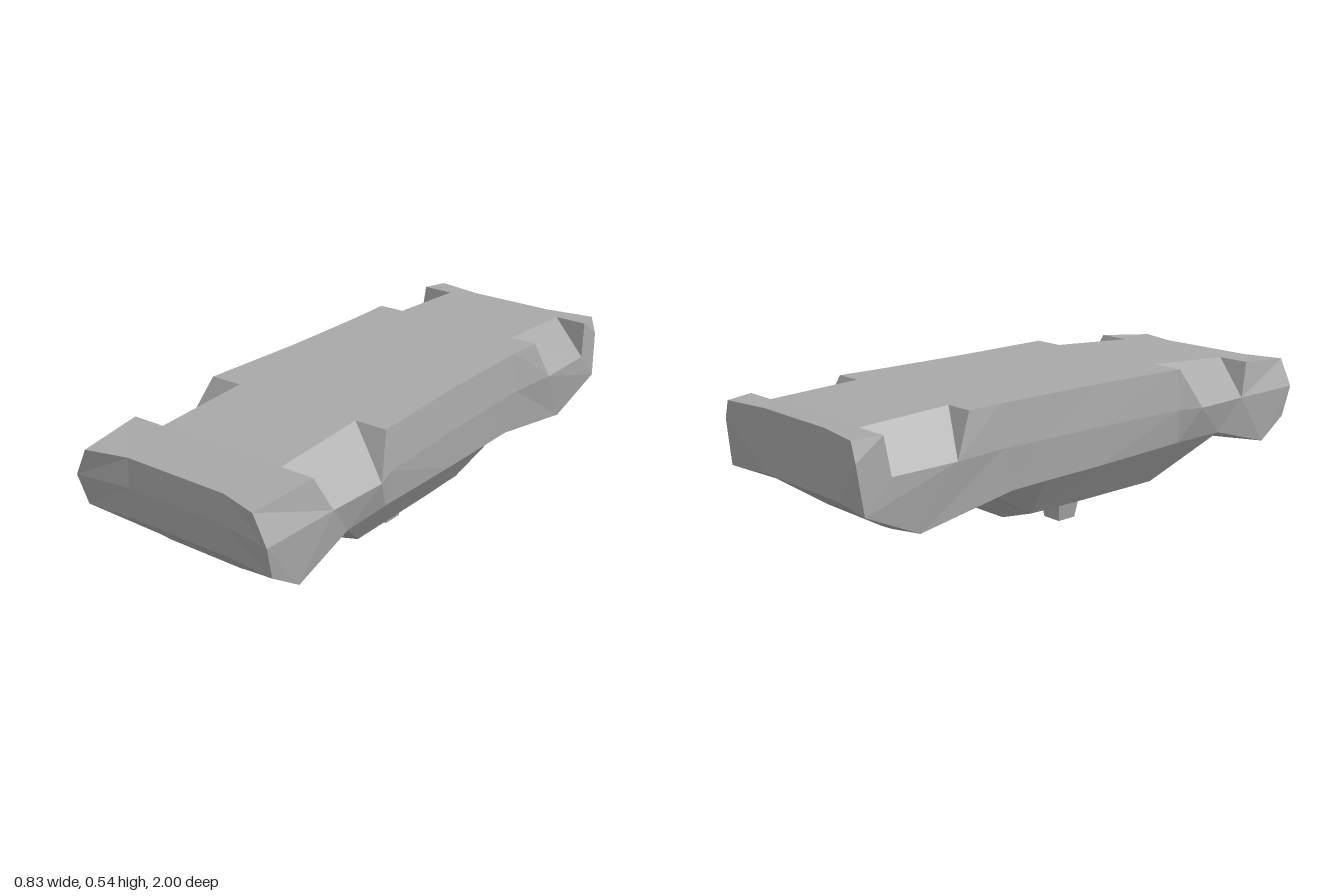
import * as THREE from 'three';

const V = (x, y, z) => new THREE.Vector3(x, y, z);

// Collects flat triangles together with their mirror image across x = 0
function mirroredSurface() {
  const pos = [];
  const tri = (a, b, c) => {
    const area = b.clone().sub(a).cross(c.clone().sub(a)).length();
    if (area < 1e-6) return;
    for (const p of [a, b, c]) pos.push(p.x, p.y, p.z);
    for (const p of [c, b, a]) pos.push(-p.x, p.y, p.z);
  };
  const quad = (a, b, c, d) => { tri(a, b, c); tri(a, c, d); };
  const geometry = () => {
    const g = new THREE.BufferGeometry();
    g.setAttribute('position', new THREE.Float32BufferAttribute(pos, 3));
    g.computeVertexNormals();
    return g;
  };
  return { quad, geometry };
}

// Half cross-section: deck, top edge, waist, sill, cabin corner, cabin base
function section(...points) {
  const p = points.map((a) => V(...a));
  const last = p[p.length - 1];
  return [V(0, p[0].y, p[0].z), ...p, V(0, last.y, last.z)];
}

// Collapsing the top edge onto the deck opens a wheel notch
function notched(s) {
  const n = s.slice();
  n[2] = n[1];
  return n;
}

function bodyGeometry() {
  const { quad, geometry } = mirroredSurface();

  const nose = section([.2, .49, .96], [.35, .49, 1], [.4, .39, 1], [.39, .275, .97], [.2, .27, .95], [.15, .27, .95]);
  const frontA = section([.25, .512, .757], [.375, .512, .757], [.405, .39, .7], [.39, .196, .85], [.2, .174, .85], [.15, .17, .85]);
  const frontB = section([.25, .535, .39], [.372, .535, .39], [.415, .39, .47], [.38, .27, .6], [.25, .235, .62], [.15, .235, .63]);
  const cabinFront = section([.25, .535, .38], [.37, .535, .38], [.385, .39, .38], [.37, .265, .39], [.25, .097, .38], [.16, .08, .39]);
  const middle = section([.25, .535, 0], [.35, .535, 0], [.367, .39, 0], [.36, .25, 0], [.25, .097, 0], [.16, .077, 0]);
  const cabinRear = section([.25, .535, -.24], [.347, .535, -.24], [.362, .39, -.24], [.355, .245, -.24], [.25, .1, -.21], [.16, .076, -.26]);
  const cabinEnd = section([.25, .535, -.43], [.347, .535, -.43], [.36, .39, -.43], [.35, .24, -.38], [.25, .225, -.42], [.15, .215, -.44]);
  const rearA = section([.25, .535, -.56], [.352, .535, -.56], [.38, .39, -.63], [.355, .18, -.76], [.2, .158, -.76], [.15, .155, -.76]);
  const rearB = section([.25, .52, -.9], [.372, .52, -.9], [.38, .39, -.88], [.38, .285, -.98], [.2, .285, -.95], [.15, .285, -.95]);
  const tail = section([.17, .515, -.97], [.35, .515, -1], [.37, .45, -1], [.38, .285, -.98], [.2, .285, -.95], [.15, .285, -.95]);

  // Skin from nose to tail
  const rings = [nose, frontA, notched(frontA), notched(frontB), frontB, cabinFront, middle,
    cabinRear, cabinEnd, rearA, notched(rearA), notched(rearB), rearB, tail];
  for (let i = 0; i < rings.length - 1; i++) {
    const r = rings[i], s = rings[i + 1];
    for (let k = 0; k < r.length - 1; k++) quad(r[k], r[k + 1], s[k + 1], s[k]);
  }

  // End faces: rows of centre, inner and outer points from top to bottom
  const endFace = (rows, front) => {
    for (let i = 0; i < rows.length - 1; i++) {
      for (let k = 0; k < 2; k++) {
        const q = [rows[i][k], rows[i + 1][k], rows[i + 1][k + 1], rows[i][k + 1]];
        quad(...(front ? q : q.reverse()));
      }
    }
  };
  endFace([
    [nose[0], nose[1], nose[2]],
    [V(0, .387, .965), V(.2, .387, .965), nose[3]],
    [nose[7], nose[5], nose[4]],
  ], true);
  endFace([
    [tail[0], tail[1], tail[2]],
    [V(0, .45, -.97), V(.17, .45, -.97), tail[3]],
    [V(0, .45, -.945), V(.18, .45, -.945), tail[3]],
    [tail[7], tail[5], tail[4]],
  ], false);

  return geometry();
}

export function createModel() {
  const model = new THREE.Group();
  const grey = new THREE.MeshStandardMaterial({ color: 0xa8a8a8, flatShading: true });
  grey.name = 'plain grey';

  const body = new THREE.Mesh(bodyGeometry(), grey);
  body.name = 'body';
  model.add(body);

  // Two tapered square pegs under the cabin
  const pegGeometry = new THREE.CylinderGeometry(.051 * Math.SQRT2, .038 * Math.SQRT2, .085, 4);
  pegGeometry.rotateY(Math.PI / 4);
  for (const side of [1, -1]) {
    const peg = new THREE.Mesh(pegGeometry, grey);
    peg.name = side > 0 ? 'leftPeg' : 'rightPeg';
    peg.position.set(side * .115, .0425, .05);
    model.add(peg);
  }
  return model;
}
